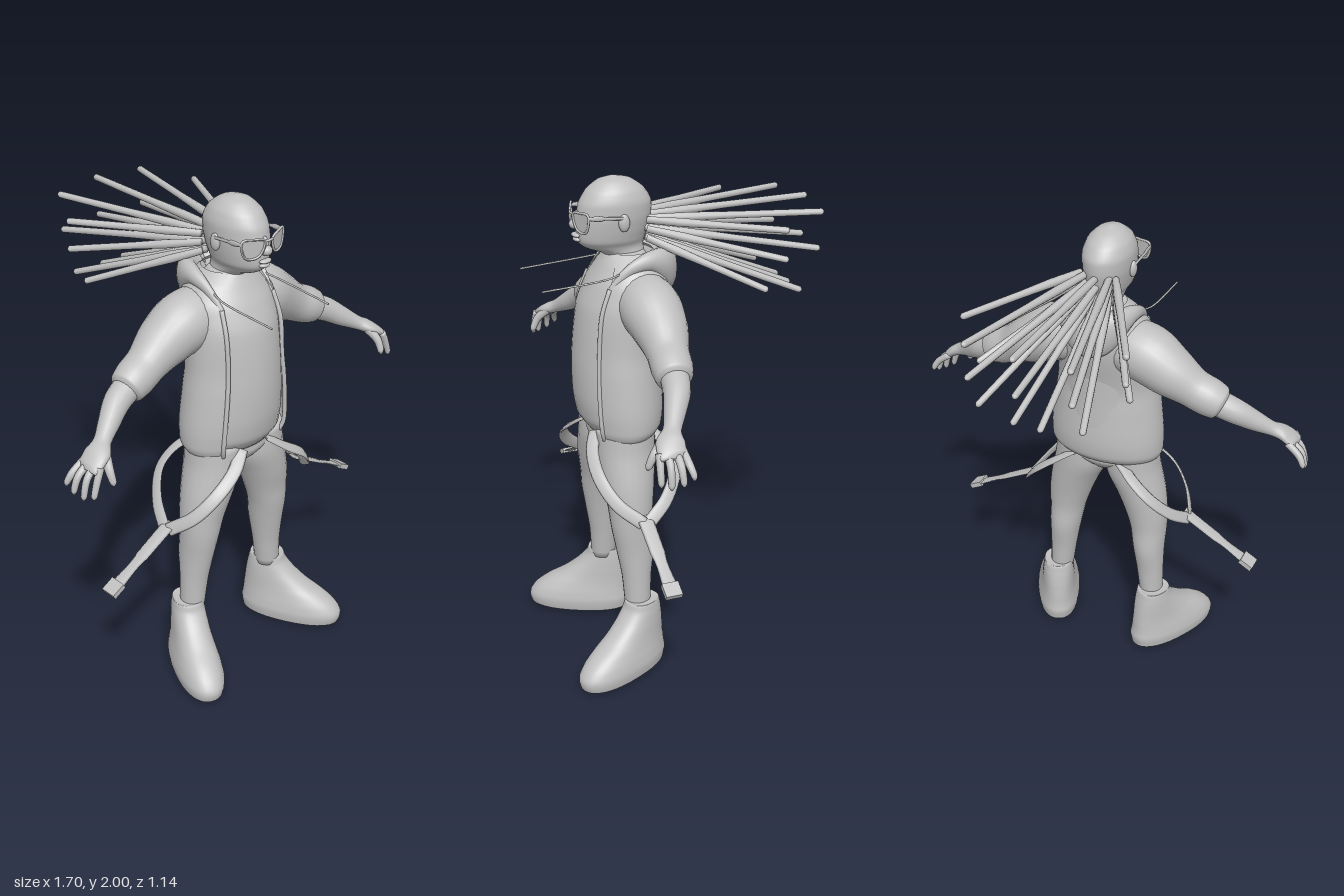
import * as THREE from 'three';

const V = (x, y, z) => new THREE.Vector3(x, y, z);
const UP = V(0, 1, 0);

// Smooth skin over cross-sections [x, y, z, a, b]; a and b are the half widths.
// ref steers the roll, tan fixes the section plane, gap leaves an opening, pow squares the outline.
function loft(rows, { n = 20, m = 5, ref = UP, tan = null, gap = 0, pow = 1 } = {}) {
  const path = new THREE.CatmullRomCurve3(rows.map(r => V(r[0], r[1], r[2])));
  const size = new THREE.CatmullRomCurve3(rows.map(r => V(r[3], r[4] ?? r[3], 0)));
  const steps = (rows.length - 1) * m, cols = gap ? n + 1 : n, pos = [], idx = [];
  const bend = v => Math.sign(v) * Math.abs(v) ** pow;
  for (let j = 0; j <= steps; j++) {
    const c = path.getPoint(j / steps), s = size.getPoint(j / steps);
    const t = tan ?? path.getTangent(j / steps);
    const side = ref.clone().cross(t).normalize(), up = t.clone().cross(side);
    for (let i = 0; i < cols; i++) {
      const w = -Math.PI / 2 + gap + (i / n) * (2 * Math.PI - 2 * gap);
      const p = c.clone().addScaledVector(side, s.x * bend(Math.cos(w))).addScaledVector(up, s.y * bend(Math.sin(w)));
      pos.push(p.x, p.y, p.z);
    }
  }
  for (let j = 0; j < steps; j++) for (let i = 0; i < n; i++) {
    const k = (i + 1) % cols, a = j * cols + i, b = j * cols + k;
    idx.push(a, b, b + cols, a, b + cols, a + cols);
  }
  if (!gap) {
    const first = pos.length / 3, top = steps * cols;
    pos.push(...path.getPoint(0).toArray(), ...path.getPoint(1).toArray());
    for (let i = 0; i < n; i++) {
      const k = (i + 1) % n;
      idx.push(first, k, i, first + 1, top + i, top + k);
    }
  }
  const g = new THREE.BufferGeometry();
  g.setAttribute('position', new THREE.Float32BufferAttribute(pos, 3));
  g.setIndex(idx);
  g.computeVertexNormals();
  return g;
}

// Upright body made of horizontal sections [y, z, a, b]
const upright = (rows, opt = {}) =>
  loft(rows.map(([y, z, a, b]) => [0, y, z, a, b]), { n: 36, ref: V(0, 0, -1), tan: UP, ...opt });

const ball = (x, y, z, rx, ry, rz) => new THREE.SphereGeometry(1, 20, 14).scale(rx, ry, rz).translate(x, y, z);

function mirrored(g) {
  const h = g.clone().scale(-1, 1, 1), ix = h.index;
  for (let i = 0; i < ix.count; i += 3) {
    const a = ix.getX(i);
    ix.setX(i, ix.getX(i + 1));
    ix.setX(i + 1, a);
  }
  h.computeVertexNormals();
  return h;
}

export function createModel() {
  const model = new THREE.Group();
  model.name = 'standingFigure';
  const grey = new THREE.MeshStandardMaterial({ color: 0xc0c0c0, side: THREE.DoubleSide });
  grey.name = 'plainGrey';
  const add = (name, g) => {
    const mesh = new THREE.Mesh(g, grey);
    mesh.name = name;
    model.add(mesh);
  };
  const pair = (name, g) => {
    add(name + 'Left', g);
    add(name + 'Right', mirrored(g));
  };

  // Head and neck
  add('head', upright([
    [1.62, .19, .07, .07], [1.70, .2, .063, .08], [1.735, .24, .066, .118], [1.76, .25, .08, .133],
    [1.80, .245, .09, .143], [1.85, .238, .098, .147], [1.90, .233, .099, .142], [1.95, .233, .084, .112],
    [1.985, .235, .05, .064], [2.0, .24, .006, .006]]));
  add('nose', ball(0, 1.828, .392, .023, .02, .022));
  add('noseBridge', ball(0, 1.85, .383, .012, .03, .014));
  add('upperLip', ball(0, 1.786, .387, .028, .009, .018));
  add('lowerLip', ball(0, 1.769, .382, .025, .01, .018));
  pair('ear', ball(.1, 1.84, .23, .014, .034, .022));

  // Glasses wrapping round the face
  const outline = new THREE.CatmullRomCurve3([[-.042, .026], [0, .034], [.046, .034], [.05, .005],
    [.03, -.036], [-.016, -.036], [-.038, -.008]].map(([x, y]) => V(x, y, 0)), true);
  const place = g => g.rotateY(.35).translate(.06, 1.85, .388);
  pair('lensFrame', place(new THREE.TubeGeometry(outline, 36, .005, 8, true)));
  pair('lens', place(new THREE.ShapeGeometry(new THREE.Shape(outline.getPoints(28).reverse()))));
  pair('temple', loft([[.108, 1.872, .372, .004, .007], [.11, 1.868, .31, .004, .007], [.107, 1.86, .23, .004, .006]], { n: 8 }));
  add('bridge', loft([[-.022, 1.872, .402, .005], [0, 1.874, .408, .005], [.022, 1.872, .402, .005]], { n: 8 }));

  // Swept-back hair locks: three rows fanning out, tips given as [x, y, z]
  const rows = [
    [1.835, [[0, 1.845, -.57], [.21, 1.835, -.54], [.33, 1.815, -.34]]],
    [1.80, [[0, 1.688, -.56], [.21, 1.69, -.53], [.33, 1.70, -.34]]],
    [1.765, [[.055, 1.51, -.48], [.215, 1.53, -.455], [.315, 1.585, -.265]]]];
  rows.forEach(([y, tips], r) => {
    for (const [x, ty, z] of tips) {
      const a = V(x * .22, y, .13), b = V(x, ty, z);
      const at = (f, w) => [...a.clone().lerp(b, f).toArray(), w];
      const g = loft([at(0, .014), at(.5, .014), at(.985, .013), at(1, .005)], { n: 10, m: 2 });
      if (x) pair('hairLock' + r, g); else add('hairLock' + r, g);
    }
  });

  // Shirt and open jacket
  add('shirt', upright([
    [.995, .24, .17, .12], [1.05, .24, .2, .156], [1.15, .24, .2, .172], [1.3, .24, .19, .172],
    [1.5, .225, .185, .163], [1.6, .21, .175, .135], [1.67, .2, .13, .1], [1.71, .2, .07, .075]]));
  const jacket = [
    [.99, .24, .2, .115], [.995, .24, .228, .14], [1.03, .235, .243, .162], [1.1, .235, .243, .17],
    [1.25, .238, .226, .166], [1.35, .236, .213, .16], [1.5, .215, .21, .17], [1.6, .19, .197, .155],
    [1.67, .18, .145, .125], [1.71, .18, .09, .09]];
  const gap = .75;
  add('jacket', upright(jacket, { gap, n: 44 }));
  pair('jacketEdge', loft(jacket.slice(1, 8).map(([y, z, a, b]) =>
    [a * Math.sin(gap), y, z + b * Math.cos(gap), .009]), { n: 10, ref: V(0, 0, 1) }));
  const side = [[.128, 1.59, .3, .01, .012], [.138, 1.66, .235, .015, .02], [.13, 1.69, .15, .03, .036], [.09, 1.665, .07, .042, .07]];
  add('hood', loft([...side, [0, 1.62, .038, .046, .096],
    ...side.map(([x, ...rest]) => [-x, ...rest]).reverse()], { n: 18 }));
  pair('hoodString', loft([[.135, 1.655, .26, .004], [.148, 1.645, .32, .004], [.148, 1.628, .57, .004]], { n: 6 }));

  // Arms
  pair('sleeve', loft([
    [.04, 1.54, .18, .09], [.12, 1.54, .17, .113], [.2, 1.525, .165, .118], [.3, 1.473, .16, .103], [.4, 1.415, .17, .079],
    [.455, 1.39, .178, .078], [.5, 1.37, .185, .069], [.513, 1.364, .187, .05]], { n: 24 }));
  pair('forearm', loft([
    [.47, 1.38, .178, .056], [.56, 1.34, .2, .051], [.63, 1.295, .235, .041], [.69, 1.258, .268, .034, .029],
    [.735, 1.235, .292, .052, .025], [.775, 1.208, .3, .053, .02], [.79, 1.193, .3, .046, .011]]));
  const fingers = [[.345, .805, 1.10, .352], [.315, .828, 1.095, .322], [.284, .838, 1.105, .28], [.258, .84, 1.125, .243]];
  for (const [z, x, y, tz] of fingers) {
    pair('finger', loft([[.765, 1.213, z, .015], [x - .022, 1.172, (z + tz) / 2, .0145],
      [x - .002, y + .014, tz, .012], [x, y, tz, .004]], { n: 10 }));
  }
  pair('thumb', loft([[.71, 1.24, .305, .02], [.73, 1.195, .35, .017], [.731, 1.15, .372, .013], [.73, 1.137, .376, .004]],
    { n: 10, ref: V(1, 0, 0) }));

  // Trousers
  add('hips', upright([[1.04, .24, .2, .115], [.98, .24, .2, .117], [.94, .243, .12, .1], [.9, .245, .04, .06]]));
  pair('trouserLeg', loft([
    [.108, 1.02, .24, .118, .117], [.116, .92, .245, .12, .117], [.155, .8, .25, .106, .105], [.18, .7, .25, .092, .09],
    [.192, .62, .25, .079, .083], [.2, .52, .24, .068, .077], [.21, .4, .238, .058, .06], [.22, .27, .238, .05, .052]],
    { n: 24, ref: V(0, 0, 1), tan: V(0, -1, 0) }));

  // Boots turned outward
  pair('boot', upright([
    [0, .112, .075, .19], [.012, .117, .092, .215], [.05, .117, .097, .222], [.09, .107, .092, .207], [.13, .083, .083, .18],
    [.17, .05, .076, .143], [.22, .02, .071, .107], [.27, .002, .066, .08], [.3, 0, .061, .07], [.297, 0, .05, .055]], { pow: .88 })
    .rotateY(.46).translate(.235, 0, .225));

  // Hanging braces: front and back bands joining into one strap with a clip
  const band = (pts, ref) => loft(pts.map(p => [...p, .027, .006]), { n: 8, ref });
  pair('frontBrace', band([[.07, 1.0, .355], [.14, .945, .39], [.24, .875, .395], [.32, .79, .35], [.375, .72, .265]], V(.6, .5, .55)));
  pair('backBrace', band([[.1, .99, .14], [.18, .945, .095], [.26, .88, .09], [.33, .79, .15], [.375, .72, .24]], V(.6, .6, -.25)));
  pair('braceStrap', loft([[.35, .74, .253, .032, .007], [.5, .655, .253, .03, .006], [.64, .577, .253, .03, .006]], { n: 8 }));
  pair('braceClip', new THREE.BoxGeometry(.06, .022, .066).rotateZ(-.5).translate(.648, .574, .253));

  return model;
}
